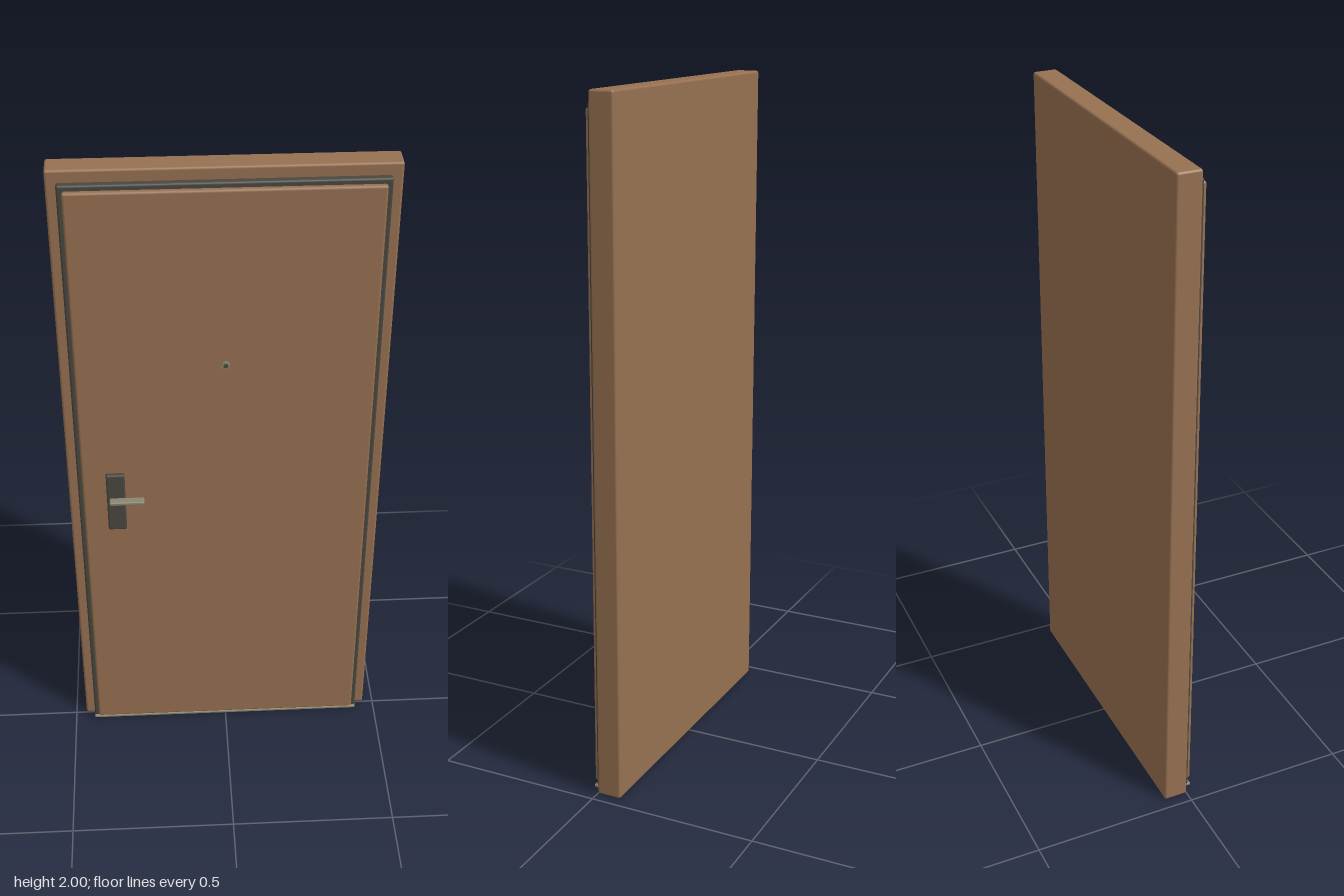
import * as THREE from 'three';
import { RoundedBoxGeometry } from 'three/addons/geometries/RoundedBoxGeometry.js';

export function createModel() {
  const door = new THREE.Group();
  door.name = 'door';

  const material = (name, color) => {
    const m = new THREE.MeshStandardMaterial({ color });
    m.name = name;
    return m;
  };
  const wood = material('brown wood', 0x977151);
  const dark = material('dark rubber and iron', 0x4a473f);
  const metal = material('dull metal', 0x8c8470);

  const add = (name, geometry, mat) => {
    const mesh = new THREE.Mesh(geometry, mat);
    mesh.name = name;
    door.add(mesh);
    return mesh;
  };

  // Softly bevelled block given by its limits on each axis
  const block = (name, [x0, x1], [y0, y1], [z0, z1], bevel, mat) => {
    const g = new RoundedBoxGeometry(x1 - x0, y1 - y0, z1 - z0, 2, bevel);
    g.translate((x0 + x1) / 2, (y0 + y1) / 2, (z0 + z1) / 2);
    return add(name, g, mat);
  };

  // Main slab, the seal around the leaf, and the raised front leaf
  block('slab', [-0.467, 0.467], [0, 2], [-0.073, 0], 0.007, wood);
  block('seal', [-0.438, 0.438], [0.004, 1.965], [-0.02, 0.019], 0.006, dark);
  block('frontPanel', [-0.424, 0.424], [0.014, 1.95], [0, 0.033], 0.007, wood);

  // Low metal sill under the leaf
  block('sill', [-0.438, 0.438], [0, 0.008], [-0.01, 0.027], 0.002, metal);

  // Lock plate and lever
  block('lockPlate', [-0.353, -0.298], [0.835, 1.04], [0.028, 0.047], 0.005, dark);
  block('lever', [-0.345, -0.242], [0.946, 0.958], [0.046, 0.072], 0.004, metal);

  // Peephole: metal ring with a dark lens
  const ring = add('peepholeRing', new THREE.CylinderGeometry(0.012, 0.012, 0.01, 20), metal);
  ring.rotation.x = Math.PI / 2;
  ring.position.set(0, 1.41, 0.034);
  const lens = add('peepholeLens', new THREE.CylinderGeometry(0.007, 0.007, 0.004, 16), dark);
  lens.rotation.x = Math.PI / 2;
  lens.position.set(0, 1.41, 0.038);

  return door;
}
